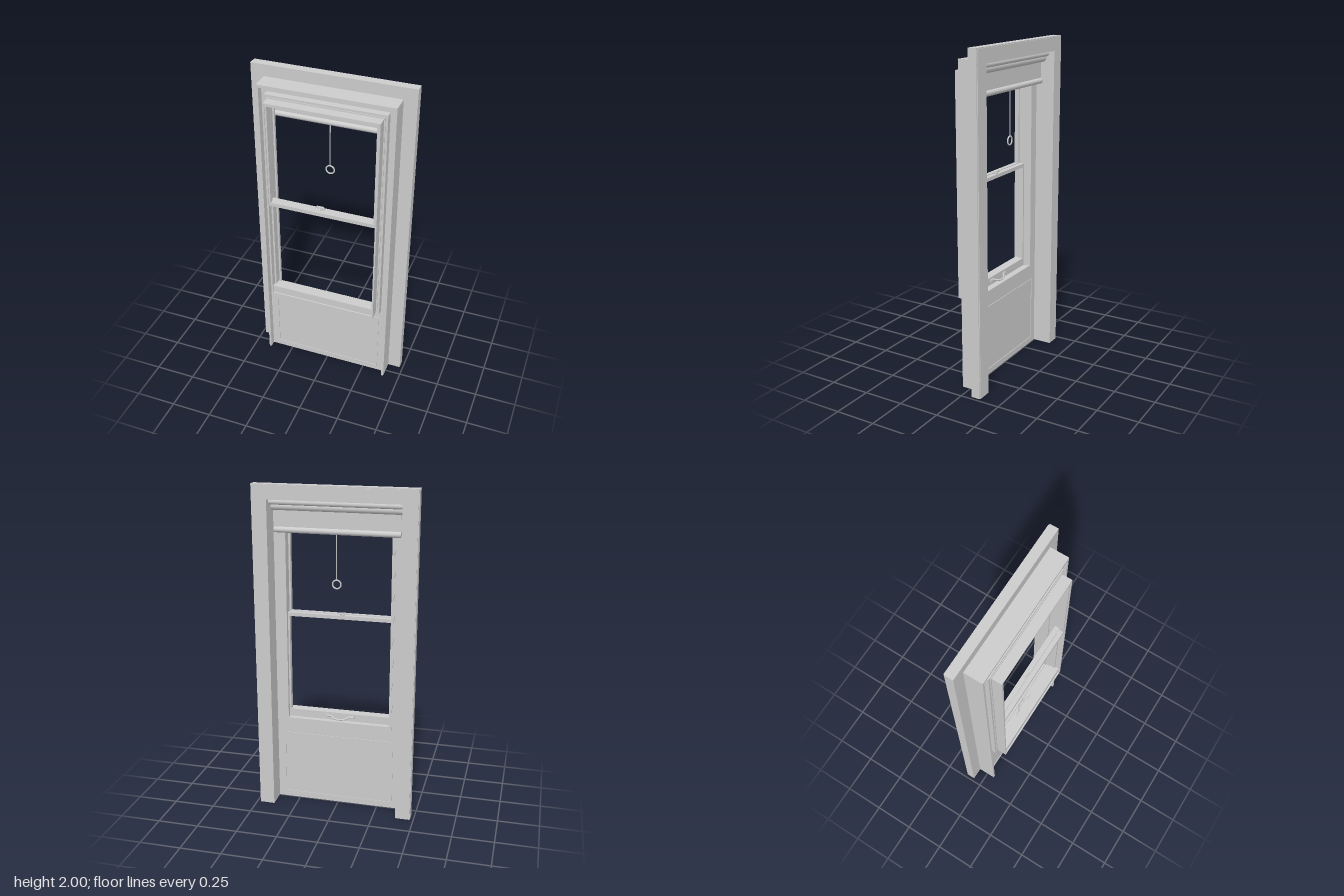
import * as THREE from 'three';

const material = new THREE.MeshStandardMaterial({ color: 0xcccccc, side: THREE.DoubleSide });

export function createModel() {
  const model = new THREE.Group();

  const add = (name, geometry, x = 0, y = 0, z = 0, parent = model) => {
    const mesh = new THREE.Mesh(geometry, material);
    mesh.name = name;
    mesh.position.set(x, y, z);
    parent.add(mesh);
    return mesh;
  };

  // Box given by its limits on each axis
  const box = (name, x0, x1, y0, y1, z0, z1, parent) =>
    add(name, new THREE.BoxGeometry(x1 - x0, y1 - y0, z1 - z0),
      (x0 + x1) / 2, (y0 + y1) / 2, (z0 + z1) / 2, parent);

  const rectPoints = (w, y0, y1) => [[-w, y0], [w, y0], [w, y1], [-w, y1]].map(p => new THREE.Vector2(...p));

  const extrude = (name, shape, z0, z1, parent) =>
    add(name, new THREE.ExtrudeGeometry(shape, { depth: z1 - z0, bevelEnabled: false }), 0, 0, z0, parent);

  // Closed rectangular frame: half width and y range, outside and inside
  const frame = (name, [w, y0, y1], [iw, iy0, iy1], z0, z1, parent) => {
    const shape = new THREE.Shape(rectPoints(w, y0, y1));
    shape.holes.push(new THREE.Path(rectPoints(iw, iy0, iy1)));
    return extrude(name, shape, z0, z1, parent);
  };

  // Frame open at the floor
  const arch = (name, w, top, iw, iTop, z0, z1) => extrude(name, new THREE.Shape(
    [[-w, 0], [-iw, 0], [-iw, iTop], [iw, iTop], [iw, 0], [w, 0], [w, top], [-w, top]]
      .map(p => new THREE.Vector2(...p))), z0, z1);

  const rod = (name, radius, length, y, z, parent) => {
    const mesh = add(name, new THREE.CylinderGeometry(radius, radius, length, 24), 0, y, z, parent);
    mesh.rotation.z = Math.PI / 2;
    return mesh;
  };

  // Casing on the room side and the lining through the wall
  arch('casing', 0.48, 2, 0.388, 1.913, -0.113, -0.06);
  arch('casingFace', 0.475, 1.995, 0.388, 1.913, -0.118, -0.113);
  arch('wallLining', 0.402, 1.93, 0.388, 1.913, -0.06, 0.052);

  // Recessed infill with a bead around the field under the window
  frame('infillBoard', [0.388, 0, 1.913], [0.33, 0.53, 1.86], 0.001, 0.011);
  frame('panelBead', [0.345, 0.035, 0.45], [0.339, 0.041, 0.444], -0.003, 0.015);

  // Window frame: flange, flared step and projecting box
  const win = new THREE.Group();
  win.name = 'window';
  model.add(win);
  frame('windowFlange', [0.355, 0.51, 1.88], [0.33, 0.535, 1.855], 0.006, 0.052, win);
  frame('flangeStep', [0.342, 0.523, 1.867], [0.33, 0.535, 1.855], 0.052, 0.057, win);
  frame('windowFrame', [0.335, 0.53, 1.86], [0.326, 0.54, 1.851], -0.002, 0.117, win);
  frame('interiorStop', [0.33, 0.535, 1.855], [0.316, 0.55, 1.84], -0.004, 0.012, win);

  // Sliding sashes
  frame('upperSash', [0.326, 1.195, 1.851], [0.315, 1.218, 1.84], 0.084, 0.112, win);
  frame('lowerSash', [0.326, 0.54, 1.215], [0.315, 0.588, 1.193], 0.05, 0.082, win);
  box('bottomRail', -0.326, 0.326, 0.535, 0.588, 0.055, 0.108, win);

  // Sash latch
  add('latchBase', new THREE.CylinderGeometry(0.014, 0.014, 0.01, 20), -0.01, 1.22, 0.067, win);
  box('latchLever', -0.045, -0.005, 1.222, 1.23, 0.06, 0.074, win);

  // Curved sash pull on the room side
  const pull = new THREE.CatmullRomCurve3([
    [-0.085, 0.567, 0.046], [-0.055, 0.567, 0.042], [-0.035, 0.56, 0.026],
    [0, 0.556, 0.02], [0.035, 0.56, 0.026], [0.055, 0.567, 0.042], [0.085, 0.567, 0.046],
  ].map(p => new THREE.Vector3(...p)));
  add('sashPull', new THREE.TubeGeometry(pull, 40, 0.006, 10), 0, 0, 0, win);
  for (const s of [-1, 1]) {
    box('pullPlate', s * 0.075 - 0.015, s * 0.075 + 0.015, 0.558, 0.576, 0.043, 0.051, win);
  }

  // Roller blind
  const blind = new THREE.Group();
  blind.name = 'rollerBlind';
  model.add(blind);
  rod('blindRoller', 0.024, 0.76, 1.87, -0.044, blind);
  rod('headRail', 0.017, 0.776, 1.896, -0.065, blind);
  box('blindCloth', -0.37, 0.37, 1.735, 1.87, -0.037, -0.032, blind);
  rod('hemBar', 0.017, 0.74, 1.733, -0.035, blind);

  // Pull cord and ring
  add('pullCord', new THREE.CylinderGeometry(0.003, 0.003, 0.27, 8), 0, 1.588, -0.035, blind);
  add('pullRing', new THREE.TorusGeometry(0.025, 0.0045, 10, 32), 0, 1.428, -0.035, blind);

  return model;
}
